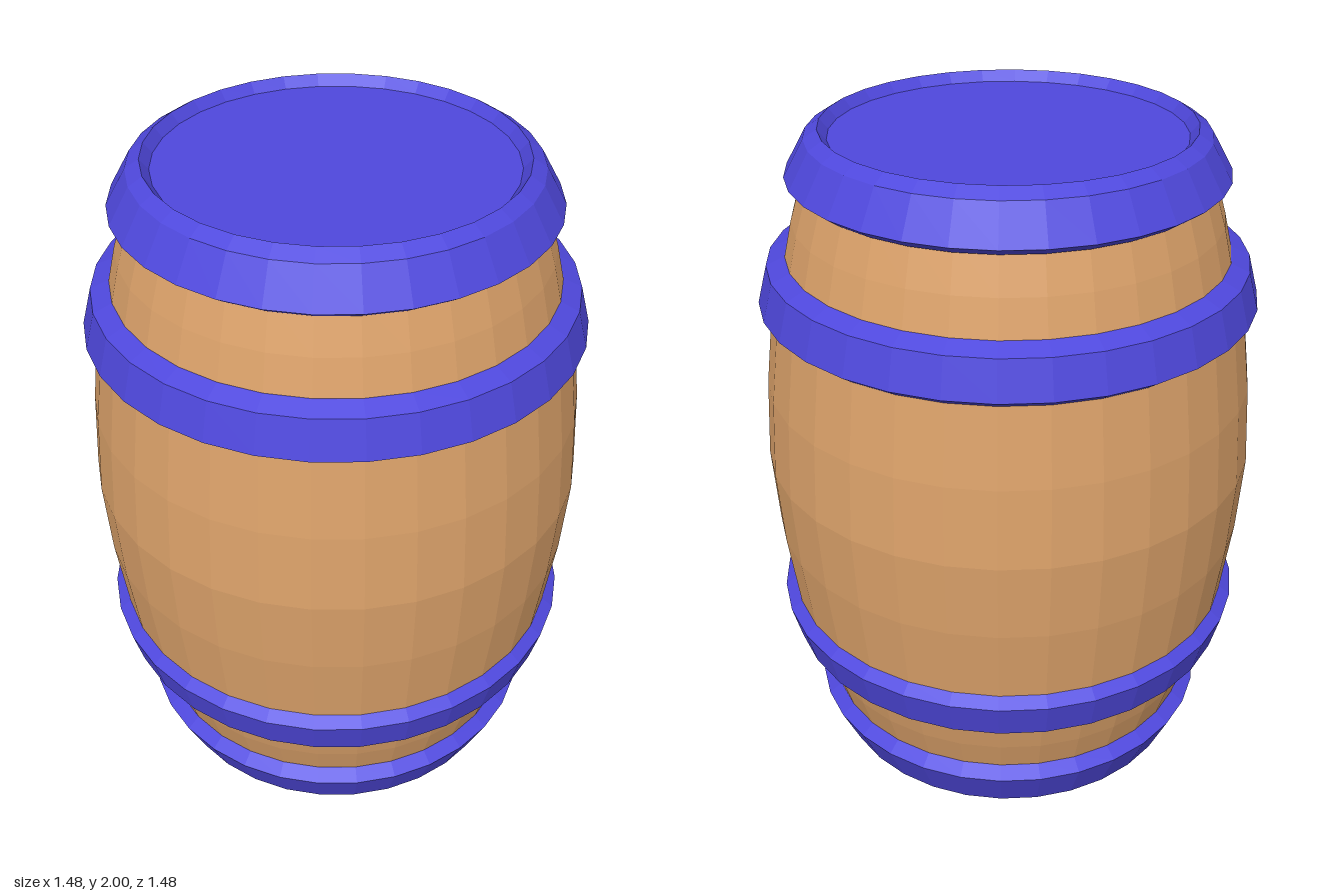
import * as THREE from 'three';

const SIDES = 32;
const material = (color) => new THREE.MeshStandardMaterial({ color, flatShading: true });

// Revolves a profile of [radius, height] pairs, listed bottom to top
function turned(name, profile, mat) {
  const points = profile.map(([r, y]) => new THREE.Vector2(r, y));
  const mesh = new THREE.Mesh(new THREE.LatheGeometry(points, SIDES), mat);
  mesh.name = name;
  return mesh;
}

// Mirrors a profile about mid height, keeping it bottom to top
const flip = (profile) => profile.map(([r, y]) => [r, 2 - y]).reverse();

export function createModel() {
  const barrel = new THREE.Group();
  barrel.name = 'barrel';
  const wood = material(0xdca26a);
  const paint = material(0x4f48dd);

  // Bulging wooden body
  const upper = [[0.725, 1.24], [0.695, 1.475], [0.645, 1.635], [0.62, 1.74], [0.58, 1.87]];
  barrel.add(turned('body', [...flip(upper), [0.74, 1], ...upper], wood));

  // Two hoops around the belly
  const hoop = [[0.68, 1.475], [0.695, 1.475], [0.73, 1.5], [0.7, 1.612], [0.648, 1.635], [0.63, 1.635]];
  barrel.add(turned('upperHoop', hoop, paint));
  barrel.add(turned('lowerHoop', flip(hoop), paint));

  // Top rim with a slightly sunken lid
  barrel.add(turned('topRimAndLid', [
    [0.57, 1.845], [0.595, 1.845], [0.63, 1.87], [0.57, 1.975],
    [0.53, 2], [0.505, 1.97], [0, 1.97],
  ], paint));

  // Bottom rim with a flat base
  barrel.add(turned('bottomRimAndBase', [
    [0, 0], [0.57, 0], [0.63, 0.132], [0.59, 0.16], [0.57, 0.16],
  ], paint));

  return barrel;
}
